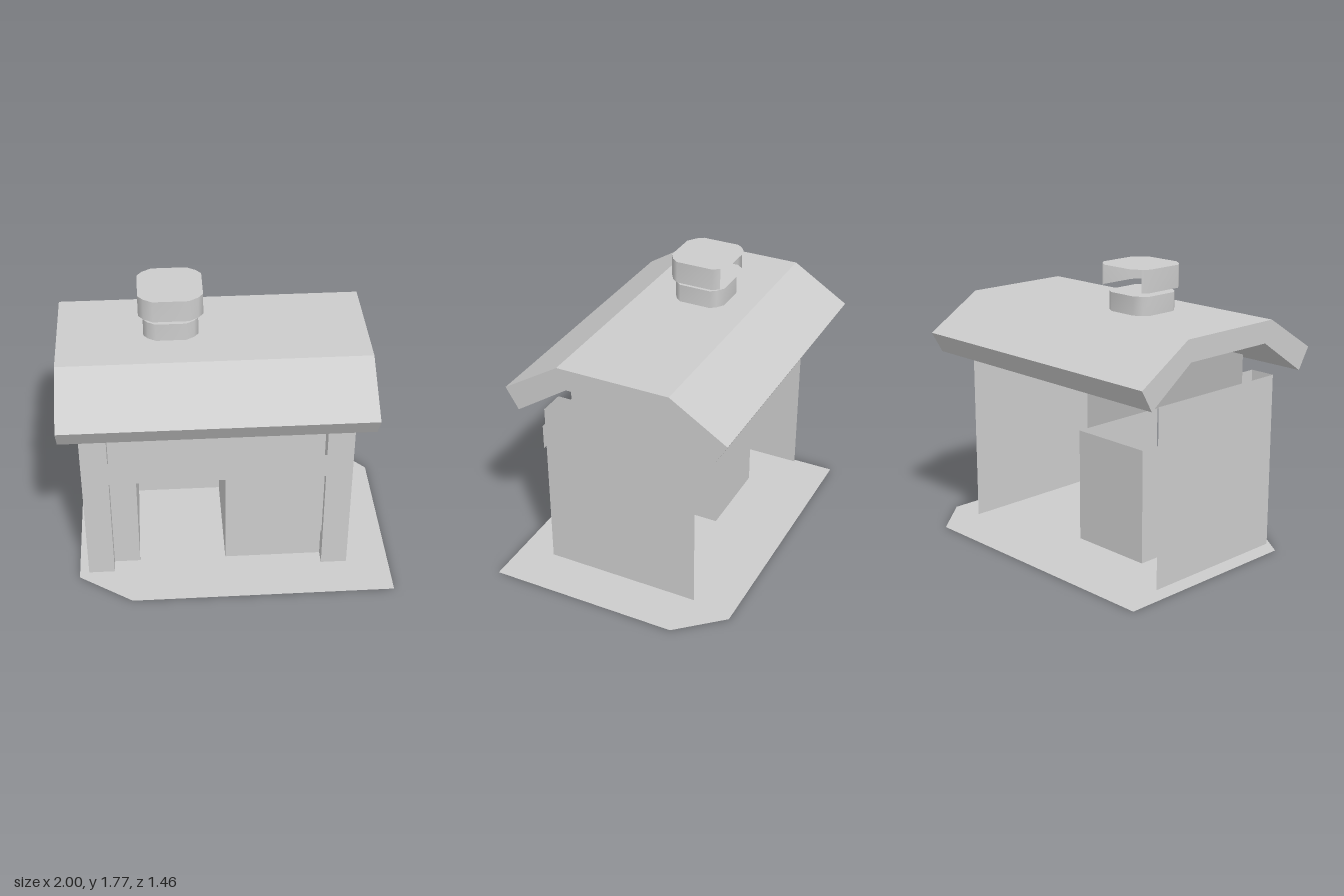
import * as THREE from 'three';

export function createModel() {
  const model = new THREE.Group();
  const plaster = new THREE.MeshStandardMaterial({ color: 0xcccccc, side: THREE.DoubleSide });
  plaster.name = 'light grey';

  const add = (name, geometry, x = 0, y = 0, z = 0) => {
    const mesh = new THREE.Mesh(geometry, plaster);
    mesh.name = name;
    mesh.position.set(x, y, z);
    model.add(mesh);
    return mesh;
  };
  const shapeOf = (points) => new THREE.Shape(points.map(([a, b]) => new THREE.Vector2(a, b)));

  // Thin sheet facing the front
  const frontSheet = (name, x0, x1, y0, y1, z) =>
    add(name, new THREE.PlaneGeometry(x1 - x0, y1 - y0), (x0 + x1) / 2, (y0 + y1) / 2, z);
  // Thin sheet facing sideways; facing is +1 for left, -1 for right
  const sideSheet = (name, x, z0, z1, y0, y1, facing) =>
    add(name, new THREE.PlaneGeometry(z1 - z0, y1 - y0).rotateY(facing * Math.PI / 2),
      x, (y0 + y1) / 2, (z0 + z1) / 2);
  // Flat horizontal sheet from x, z points
  const flatSheet = (name, points, y) =>
    add(name, new THREE.ShapeGeometry(shapeOf(points.map(([x, z]) => [x, -z]))).rotateX(-Math.PI / 2), 0, y, 0);

  // Ground slab with two clipped corners
  flatSheet('ground', [[-0.95, 0.5], [-0.62, 0.725], [1, 0.725], [1, -0.46], [0.76, -0.73], [-0.95, -0.73]], 0);

  // Side walls and front pilasters
  const base = 0.03, wallTop = 1.11, front = 0.49, inset = 0.4;
  sideSheet('leftWall', 0.73, -0.485, front, base, wallTop, 1);
  sideSheet('rightWall', -0.89, -0.485, front, base, wallTop, -1);
  frontSheet('leftPilaster', 0.57, 0.73, base, wallTop, front);
  frontSheet('rightPilaster', -0.89, -0.73, base, wallTop, front);
  sideSheet('leftPilasterReturn', 0.57, inset, front, base, wallTop, -1);
  sideSheet('rightPilasterReturn', -0.73, inset, front, base, wallTop, 1);

  // Inset front wall with the doorway cut out
  add('frontWall', new THREE.ShapeGeometry(shapeOf([
    [-0.73, base], [-0.57, base], [-0.57, 0.735], [-0.03, 0.735], [-0.03, base],
    [0.57, base], [0.57, 1.22], [-0.73, 1.22],
  ])), 0, 0, inset);

  // Doorway recess
  const recessBack = -0.28;
  sideSheet('recessRightWall', -0.57, recessBack, inset, base, 0.735, 1);
  sideSheet('recessLeftWall', -0.03, recessBack, inset, base, 0.735, -1);
  frontSheet('recessBackWall', -0.57, -0.03, base, 0.735, recessBack);
  flatSheet('recessFloor', [[-0.57, inset], [-0.03, inset], [-0.03, recessBack], [-0.57, recessBack]], base);

  // Window panel and sign board
  frontSheet('window', 0.08, 0.57, 0.25, 0.76, 0.44);
  frontSheet('signBoard', -0.84, 0.675, 0.785, 0.945, 0.545);

  // Bent roof slab, extruded along x
  const roof = new THREE.ExtrudeGeometry(shapeOf([
    [-0.675, 1.27], [-0.595, 1.14], [-0.27, 1.357], [0.35, 1.357],
    [0.65, 1.14], [0.725, 1.27], [0.375, 1.488], [-0.325, 1.488],
  ]), { depth: 1.835, bevelEnabled: false });
  add('roof', roof.rotateY(Math.PI / 2), -1, 0, 0);

  // Rounded square outline, starting and ending at the back
  const quarter = [[0.105, 0.19], [0.16, 0.155], [0.19, 0.115]];
  const mirrored = quarter.slice().reverse();
  const outline = [
    ...quarter.map(([x, z]) => [x, -z]), ...mirrored,
    ...quarter.map(([x, z]) => [-x, z]), ...mirrored.map(([x, z]) => [-x, -z]),
  ];
  const place = (cx, cz, half) => outline.map(([x, z]) => [cx + x * half / 0.19, cz + z * half / 0.19]);

  // Upright band following an outline
  const band = (name, points, y0, y1, closed) => {
    const positions = [], index = [];
    points.forEach(([x, z]) => positions.push(x, y0, z, x, y1, z));
    const n = points.length;
    for (let i = 0; i < (closed ? n : n - 1); i++) {
      const a = 2 * i, b = 2 * ((i + 1) % n);
      index.push(a, a + 1, b, b, a + 1, b + 1);
    }
    const geometry = new THREE.BufferGeometry();
    geometry.setAttribute('position', new THREE.Float32BufferAttribute(positions, 3));
    geometry.setIndex(index);
    geometry.computeVertexNormals();
    add(name, geometry);
  };
  const cap = (name, points, y) => flatSheet(name, points.slice().reverse(), y);

  // Chimney: foot plate, closed lower ring, upper ring open at the back
  cap('chimneyFoot', place(-0.325, -0.035, 0.19), 1.494);
  const lower = place(-0.327, -0.05, 0.162);
  band('chimneyLowerRing', lower, 1.5, 1.612, true);
  cap('chimneyLowerTop', lower, 1.612);
  const upper = place(-0.325, -0.06, 0.19);
  band('chimneyUpperRing', upper.slice(1, -1), 1.64, 1.775, false);
  cap('chimneyUpperTop', upper, 1.775);

  return model;
}
